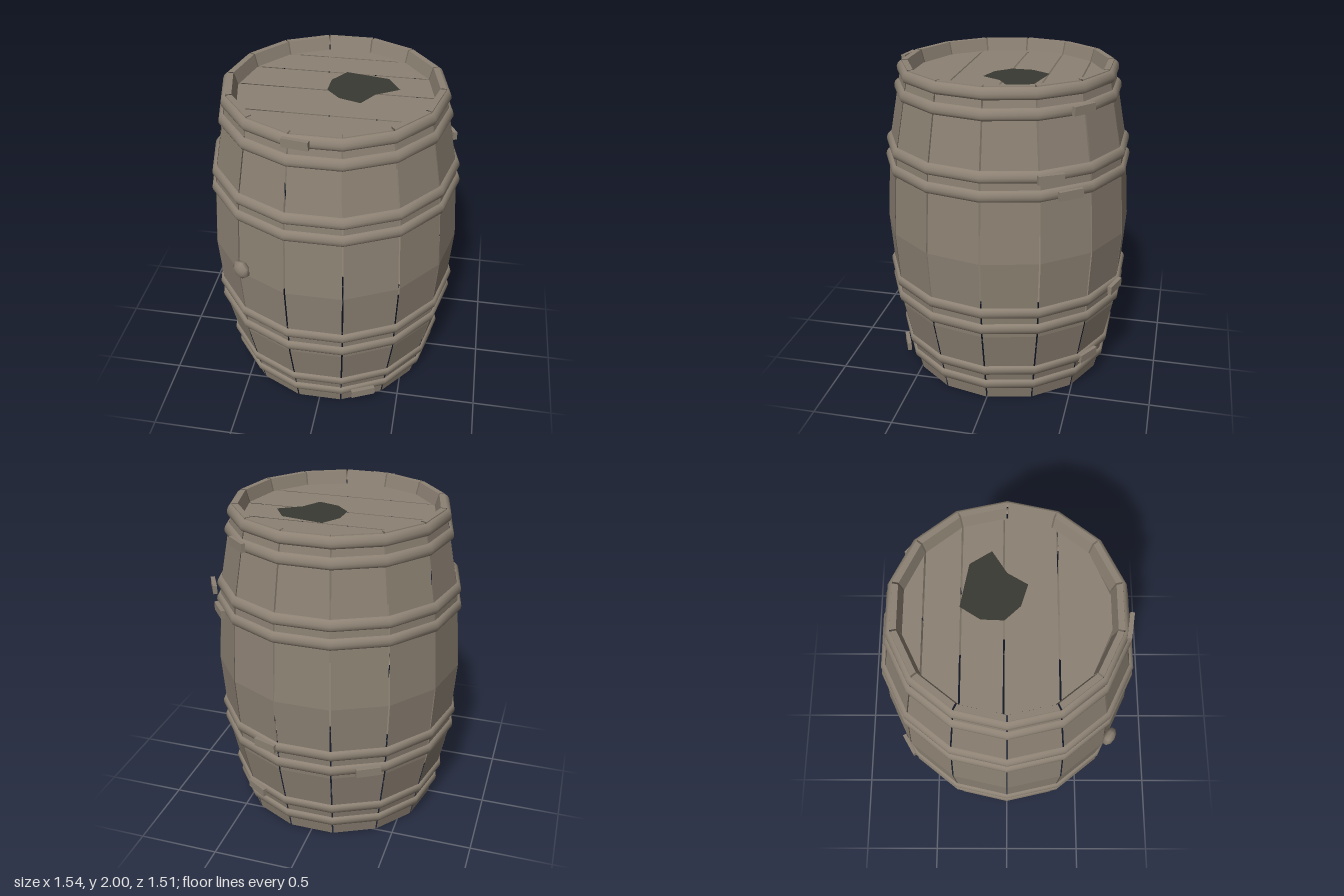
import * as THREE from 'three';

const SIDES = 14;
const STEP = (Math.PI * 2) / SIDES;
const GAP = 0.005; // half the slit between boards
const LID_Y = 1.925;
const LID_R = 0.582;

// Stave section: outer bulge, then over the rim and down to the lid
const PROFILE = [
  [0.63, 0], [0.735, 0.5], [0.77, 1], [0.735, 1.5], [0.64, 2], [0.605, 2], [0.58, 1.915],
];

// Outer radius of the staves at a given height
function staveRadius(y) {
  for (let i = 0; i < 4; i++) {
    const [r0, y0] = PROFILE[i], [r1, y1] = PROFILE[i + 1];
    if (y <= y1) return r0 + ((r1 - r0) * (y - y0)) / (y1 - y0);
  }
  return PROFILE[4][0];
}

// One flat-faced stave facing +z
function staveGeometry() {
  const pos = [];
  const corner = ([r, y], side) =>
    [side * (r * Math.sin(STEP / 2) - GAP), y, r * Math.cos(STEP / 2)];
  for (let i = 0; i < PROFILE.length - 1; i++) {
    const a = corner(PROFILE[i], -1), b = corner(PROFILE[i], 1);
    const c = corner(PROFILE[i + 1], 1), d = corner(PROFILE[i + 1], -1);
    pos.push(...a, ...b, ...c, ...a, ...c, ...d);
  }
  const g = new THREE.BufferGeometry();
  g.setAttribute('position', new THREE.Float32BufferAttribute(pos, 3));
  g.computeVertexNormals();
  return g;
}

// Rounded band following the slope of the staves
function hoopGeometry(y) {
  const pts = [];
  const half = 0.034, n = 6;
  for (let i = 0; i <= n; i++) {
    const t = -Math.PI / 2 + (Math.PI * i) / n;
    const py = y + half * Math.sin(t);
    pts.push(new THREE.Vector2(staveRadius(py) + 0.022 * Math.cos(t), py));
  }
  return new THREE.LatheGeometry(pts, SIDES, STEP / 2);
}

// Flat horizontal shape from [x, z] points
function flatGeometry(points) {
  const shape = new THREE.Shape(points.map(([x, z]) => new THREE.Vector2(x, -z)));
  return new THREE.ShapeGeometry(shape).rotateX(-Math.PI / 2);
}

// Lid board: the slice of the lid polygon between two depths
function plankGeometry(z0, z1, endScale) {
  const corners = [];
  for (let k = 0; k <= SIDES / 2; k++) {
    const a = -Math.PI / 2 + STEP / 2 + (k - 0) * STEP;
    if (a < Math.PI / 2) corners.push([LID_R * Math.cos(a), LID_R * Math.sin(a)]);
  }
  const halfWidth = (z) => {
    for (let i = 0; i < corners.length - 1; i++) {
      const [x0, a] = corners[i], [x1, b] = corners[i + 1];
      if (z <= b) return x0 + ((x1 - x0) * (z - a)) / (b - a);
    }
    return corners[corners.length - 1][0];
  };
  const inner = corners.map((c) => c[1]).filter((z) => z > z0 + 0.002 && z < z1 - 0.002);
  const edge = [z0, ...inner, z1].map((z) => [halfWidth(z), z]);
  edge[edge.length - 1][0] *= endScale;
  return flatGeometry([...edge, ...edge.map(([x, z]) => [-x, z]).reverse()]);
}

export function createModel() {
  const wood = new THREE.MeshStandardMaterial({ color: 0x8c8173, side: THREE.DoubleSide });
  wood.name = 'weathered wood';
  const dark = new THREE.MeshStandardMaterial({ color: 0x3a3a33, side: THREE.DoubleSide });
  dark.name = 'dark hole';

  const barrel = new THREE.Group();
  barrel.name = 'barrel';
  const add = (name, geometry, material = wood, parent = barrel) => {
    const mesh = new THREE.Mesh(geometry, material);
    mesh.name = name;
    parent.add(mesh);
    return mesh;
  };
  const group = (name) => {
    const g = new THREE.Group();
    g.name = name;
    barrel.add(g);
    return g;
  };

  // Staves
  const staves = group('staves');
  const stave = staveGeometry();
  for (let i = 0; i < SIDES; i++) add('stave', stave, wood, staves).rotation.y = i * STEP;

  // Hoops in four pairs
  const hoops = group('hoops');
  for (const y of [0.115, 0.23, 0.56, 0.67, 1.405, 1.515, 1.85, 1.96]) {
    add('hoop', hoopGeometry(y), wood, hoops);
  }

  // Hoop clasps, each turned to face outwards
  const clasps = group('clasps');
  const claspBox = new THREE.BoxGeometry(0.152, 0.052, 0.025);
  for (const [x, y, z] of [
    [-0.1, 1.96, 0.66], [0.285, 0.115, 0.625], [0.445, 1.85, -0.522], [0.675, 1.515, -0.385],
    [0.6, 1.405, -0.485], [0.245, 0.67, -0.728], [0.37, 0.23, -0.592], [-0.38, 0.56, -0.66],
  ]) {
    const clasp = add('clasp', claspBox, wood, clasps);
    clasp.position.set(x, y, z);
    clasp.rotation.y = Math.atan2(x, z);
  }

  // Lid boards
  const lid = group('lid');
  lid.position.y = LID_Y;
  const cuts = [-0.567, -0.458, -0.252, 0.022 - 0.04, 0.28, 0.567];
  for (let i = 0; i < cuts.length - 1; i++) {
    const last = i === cuts.length - 2;
    const z0 = cuts[i] + (i === 0 ? 0 : GAP), z1 = cuts[i + 1] - (last ? 0 : GAP);
    add('lidBoard', plankGeometry(z0, z1, last ? 0.78 : 1), wood, lid);
  }

  // Broken hole in the lid
  add('lidHole', flatGeometry([
    [0.03, -0.26], [-0.045, -0.145], [-0.05, -0.015], [0.035, 0.075],
    [0.165, 0.115], [0.235, 0], [0.37, -0.085], [0.29, -0.21],
  ]), dark).position.y = LID_Y + 0.005;

  // Bung plug on the side
  const plug = add('bungPlug', new THREE.SphereGeometry(0.062, 7, 5).rotateX(Math.PI / 2));
  plug.position.set(-0.453, 1.05, 0.637);
  plug.scale.z = 0.6;
  plug.rotation.y = -STEP * 1.2;

  return barrel;
}
